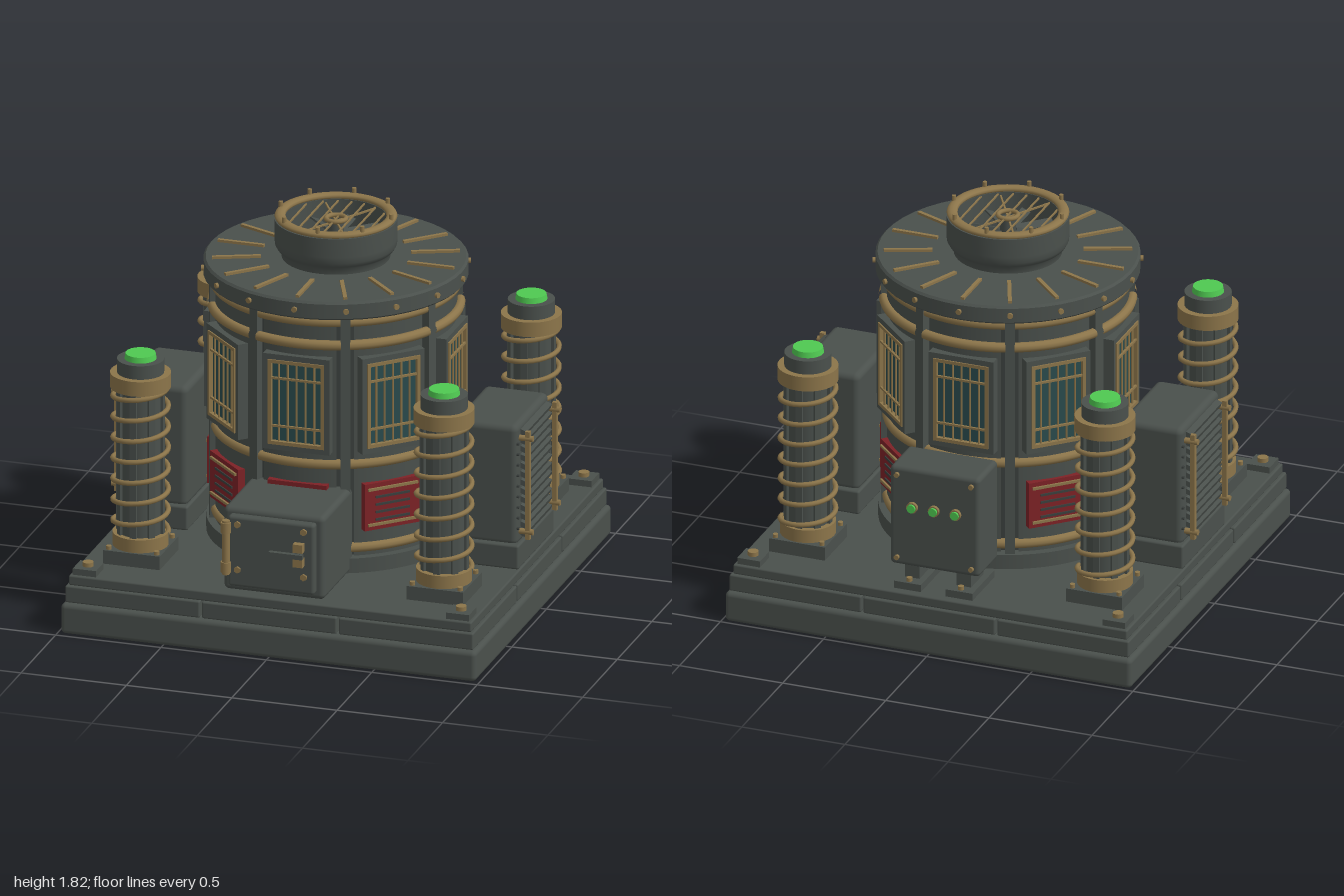
import * as THREE from 'three';
import { RoundedBoxGeometry } from 'three/addons/geometries/RoundedBoxGeometry.js';

const mat = (name, color, side = THREE.FrontSide) => {
  const m = new THREE.MeshStandardMaterial({ color, side });
  m.name = name;
  return m;
};

export function createModel() {
  const iron = mat('iron grey', 0x4a504c);
  const dark = mat('dark iron', 0x3a3f3d, THREE.DoubleSide);
  const brass = mat('aged brass', 0x8c754a);
  const glass = mat('teal glass', 0x2a4b4d);
  const red = mat('vent red', 0x7d2226);
  const green = mat('lamp green', 0x4fc951);

  const root = new THREE.Group();
  root.name = 'machine';
  root.position.z = -0.005;

  // ---- helpers ----
  const add = (parent, name, geo, material, x = 0, y = 0, z = 0) => {
    const m = new THREE.Mesh(geo, material);
    m.name = name;
    m.position.set(x, y, z);
    parent.add(m);
    return m;
  };
  const group = (parent, name, x = 0, y = 0, z = 0, ry = 0) => {
    const g = new THREE.Group();
    g.name = name;
    g.position.set(x, y, z);
    g.rotation.y = ry;
    parent.add(g);
    return g;
  };
  const box = (w, h, d) => new THREE.BoxGeometry(w, h, d);
  const rbox = (w, h, d, r) => new RoundedBoxGeometry(w, h, d, 3, r);
  const cyl = (r, h, n = 32, r2 = r) => new THREE.CylinderGeometry(r, r2, h, n);
  const stud = (r, h, n = 10) => cyl(r, h, n).rotateX(Math.PI / 2); // axis along z
  const torus = (R, t, n = 48) => new THREE.TorusGeometry(R, t, 10, n).rotateX(Math.PI / 2);
  const lathe = (pts) => new THREE.LatheGeometry(pts.map(p => new THREE.Vector2(...p)), 48);
  const around = (parent, name, n, offset, build) => {
    for (let i = 0; i < n; i++) build(group(parent, name, 0, 0, 0, offset + (i * Math.PI * 2) / n), i);
  };

  // ---- stepped base ----
  const base = group(root, 'base');
  add(base, 'baseSlab', rbox(1.97, 0.145, 1.97, 0.022), iron, 0, 0.0725, 0);
  for (let i = -1; i <= 1; i++) for (let j = -1; j <= 1; j++)
    add(base, 'baseBlock', rbox(0.638, 0.08, 0.638, 0.008), iron, i * 0.649, 0.188, j * 0.649);
  add(base, 'deck', rbox(1.91, 0.047, 1.91, 0.008), iron, 0, 0.2515, 0);
  for (const x of [-0.885, 0.885]) for (const z of [-0.885, 0.885]) {
    add(base, 'cornerPad', box(0.11, 0.03, 0.11), iron, x, 0.29, z);
    add(base, 'cornerBolt', cyl(0.025, 0.02, 12), brass, x, 0.315, z);
  }

  // ---- round tower ----
  const tower = group(root, 'tower');
  add(tower, 'towerPlinth', cyl(0.585, 0.07, 64), iron, 0, 0.31, 0);
  add(tower, 'towerCore', cyl(0.533, 1.16, 64), dark, 0, 0.925, 0);
  const arc = 0.716;
  const wallGeo = new THREE.CylinderGeometry(0.548, 0.548, 1.16, 12, 1, true, -0.32, 0.64);
  const ringArc = (R) => new THREE.TorusGeometry(R, 0.023, 10, 16, arc)
    .rotateZ(Math.PI / 2 - arc / 2).rotateX(Math.PI / 2);
  around(tower, 'towerBay', 8, 0, (bay) => {
    add(bay, 'wallPanel', wallGeo, iron, 0, 0.925, 0);
    for (const [y, R] of [[0.385, 0.545], [0.787, 0.545], [1.367, 0.56], [1.475, 0.548]])
      add(bay, 'brassRing', ringArc(R), brass, 0, y, 0);

    // barred window
    const win = group(bay, 'window', 0, 1.077, 0.545);
    for (const s of [-1, 1]) {
      add(win, 'frameSide', box(0.024, 0.46, 0.06), iron, s * 0.145, 0, 0);
      add(win, 'frameEnd', box(0.314, 0.026, 0.06), iron, 0, s * 0.217, 0);
      add(win, 'brassSide', box(0.016, 0.408, 0.064), brass, s * 0.125, 0, 0.004);
      add(win, 'brassEnd', box(0.266, 0.016, 0.064), brass, 0, s * 0.196, 0.004);
      add(win, 'crossBar', box(0.25, 0.01, 0.01), brass, 0, s * 0.115, 0.028);
    }
    add(win, 'windowPane', box(0.25, 0.4, 0.008), glass, 0, 0, 0.012);
    for (let i = -2; i <= 2; i++)
      add(win, 'windowBar', cyl(0.005, 0.4, 8), brass, i * 0.042, 0, 0.024);

    // louvred red vent
    const vent = group(bay, 'vent', 0, 0.583, 0.54);
    add(vent, 'ventPlate', box(0.28, 0.224, 0.05), red);
    for (const s of [-1, 1]) add(vent, 'ventTrim', box(0.25, 0.012, 0.012), brass, 0, s * 0.085, 0.029);
    for (let i = 0; i < 4; i++)
      add(vent, 'ventSlot', box(0.17, 0.011, 0.008), dark, 0, 0.045 - i * 0.036, 0.026);
  });
  around(tower, 'strap', 8, Math.PI / 8, (g) => {
    add(g, 'wallStrap', box(0.044, 1.16, 0.06), iron, 0, 0.925, 0.542);
  });

  // ---- lid with radial ribs ----
  add(tower, 'lid', lathe([[0, 1.5], [0.59, 1.5], [0.59, 1.5], [0.598, 1.508], [0.598, 1.508], [0.598, 1.577],
    [0.598, 1.577], [0.588, 1.587], [0.588, 1.587], [0, 1.587]]), iron);
  around(tower, 'lidSector', 16, 0, (g) => {
    add(g, 'lidRib', box(0.018, 0.018, 0.22), brass, 0, 1.59, 0.45);
    add(g, 'lidRivet', stud(0.013, 0.02), brass, 0, 1.545, 0.6);
  });

  // ---- exhaust with fan and grille ----
  const exhaust = group(root, 'exhaust');
  const shell = lathe([[0.245, 1.585], [0.248, 1.615], [0.265, 1.63], [0.276, 1.65], [0.278, 1.68], [0.278, 1.77],
    [0.278, 1.77], [0.23, 1.77], [0.23, 1.77], [0.23, 1.6]]);
  const shellIron = mat('iron grey', 0x4a504c);
  shellIron.dispose();
  add(exhaust, 'exhaustShell', shell, iron);
  add(exhaust, 'exhaustFloor', cyl(0.232, 0.01, 40), dark, 0, 1.615, 0);
  add(exhaust, 'exhaustRim', torus(0.252, 0.025).scale(1, 0.6, 1), brass, 0, 1.78, 0);
  around(exhaust, 'rimRivet', 8, 0, (g) => add(g, 'rivet', cyl(0.01, 0.03, 10), brass, 0, 1.802, 0.262));
  around(exhaust, 'fanBlade', 8, 0, (g) => {
    const b = add(g, 'blade', box(0.045, 0.008, 0.18), iron, 0, 1.69, 0.13);
    b.rotation.z = 0.4;
  });
  add(exhaust, 'fanHub', cyl(0.035, 0.1, 20), iron, 0, 1.7, 0);
  add(exhaust, 'hubRing', torus(0.045, 0.011, 24), brass, 0, 1.765, 0);
  for (let i = -3; i <= 3; i++) {
    const x = i * 0.062;
    add(exhaust, 'grilleBar', box(0.007, 0.007, 2 * Math.sqrt(0.235 ** 2 - x * x)), brass, x, 1.762, 0);
  }
  for (const a of [0.52, -0.52])
    add(exhaust, 'grilleBrace', box(0.008, 0.008, 0.46), brass, 0, 1.752, 0).rotation.y = a;

  // ---- corner coil columns ----
  class Helix extends THREE.Curve {
    getPoint(t, out = new THREE.Vector3()) {
      const a = t * Math.PI * 2 * 7;
      return out.set(0.126 * Math.cos(a), 0.4 + t * 0.7, -0.126 * Math.sin(a));
    }
  }
  const coilGeo = new THREE.TubeGeometry(new Helix(), 200, 0.012, 7);
  for (const x of [-0.72, 0.72]) for (const z of [-0.63, 0.63]) {
    const col = group(root, 'coilColumn', x, 0, z);
    add(col, 'columnFoot', box(0.27, 0.065, 0.27), iron, 0, 0.3075, 0);
    for (const i of [-1, 1]) for (const j of [-1, 1])
      add(col, 'footBolt', cyl(0.013, 0.02, 8), brass, i * 0.113, 0.347, j * 0.113);
    add(col, 'lowerCollar', cyl(0.127, 0.062), brass, 0, 0.371, 0);
    add(col, 'columnCore', cyl(0.1, 0.76), iron, 0, 0.75, 0);
    around(col, 'columnRib', 8, 0, (g) => add(g, 'rib', box(0.03, 0.72, 0.03), iron, 0, 0.75, 0.097));
    add(col, 'coil', coilGeo, brass);
    add(col, 'upperCollar', cyl(0.138, 0.07), brass, 0, 1.135, 0);
    add(col, 'columnCap', cyl(0.107, 0.07), iron, 0, 1.2, 0);
    add(col, 'lamp', cyl(0.068, 0.028, 32, 0.073), green, 0, 1.247, 0);
  }

  // ---- front furnace ----
  const furnace = group(root, 'furnace');
  add(furnace, 'furnaceBody', rbox(0.48, 0.4, 0.42, 0.025), iron, 0, 0.475, 0.69);
  add(furnace, 'furnaceDoor', rbox(0.41, 0.34, 0.05, 0.015), iron, 0, 0.48, 0.917);
  add(furnace, 'hingePost', cyl(0.018, 0.26, 14), brass, -0.21, 0.5, 0.95);
  for (const s of [-1, 1]) {
    add(furnace, 'hingeKnuckle', cyl(0.024, 0.05, 14), brass, -0.21, 0.5 + s * 0.095, 0.95);
    for (const y of [0.395, 0.613]) add(furnace, 'doorBolt', stud(0.016, 0.015, 6), brass, s * 0.157, y, 0.946);
    add(furnace, 'latchBlock', box(0.046, 0.04, 0.035), brass, 0.137, 0.505 + s * 0.035, 0.957);
  }
  add(furnace, 'latchBar', box(0.16, 0.022, 0.022), iron, 0.085, 0.507, 0.984);
  add(furnace, 'latchPivot', box(0.025, 0.025, 0.045), iron, 0.137, 0.507, 0.955);

  // ---- side radiators, facing outward along local +z ----
  for (const s of [-1, 1]) {
    const rad = group(root, 'radiator', 0, 0, 0, (s * Math.PI) / 2);
    add(rad, 'radiatorFoot', rbox(0.52, 0.115, 0.33, 0.01), iron, 0, 0.3325, 0.785);
    add(rad, 'radiatorBody', rbox(0.47, 0.58, 0.305, 0.03), iron, 0, 0.665, 0.783);
    for (let i = 0; i < 13; i++) {
      const slat = add(rad, 'slat', box(0.37, 0.024, 0.03), iron, 0, 0.425 + i * 0.0405, 0.947);
      slat.rotation.x = 0.35;
    }
    for (const x of [-0.195, 0.195]) {
      add(rad, 'radiatorRail', box(0.022, 0.52, 0.022), brass, x, 0.665, 0.975);
      for (const y of [0.44, 0.89]) add(rad, 'railBracket', stud(0.014, 0.07), brass, x, y, 0.965);
      for (let i = 0; i < 9; i++)
        add(rad, 'sideRivet', stud(0.007, 0.01, 8), dark, Math.sign(x) * 0.219, 0.46 + i * 0.051, 0.936);
    }
  }

  // ---- rear control cabinet, facing local +z ----
  const cab = group(root, 'controlCabinet', 0, 0, 0, Math.PI);
  add(cab, 'cabinetBody', rbox(0.435, 0.49, 0.235, 0.022), iron, 0, 0.63, 0.783);
  for (const x of [-0.125, 0.125]) {
    add(cab, 'cabinetFoot', box(0.13, 0.035, 0.27), iron, x, 0.2925, 0.78);
    add(cab, 'cabinetLeg', box(0.07, 0.1, 0.15), iron, x, 0.345, 0.78);
    add(cab, 'footBolt', cyl(0.014, 0.02, 8), brass, x, 0.318, 0.89);
  }
  for (const x of [-0.105, 0, 0.105]) {
    add(cab, 'lampBezel', stud(0.026, 0.02, 20), brass, x, 0.685, 0.907);
    add(cab, 'indicatorLamp', stud(0.02, 0.03, 20), green, x, 0.685, 0.912);
  }
  for (const x of [-0.18, 0.18]) for (const y of [0.425, 0.835])
    add(cab, 'cabinetRivet', stud(0.012, 0.02), brass, x, y, 0.905);

  return root;
}
